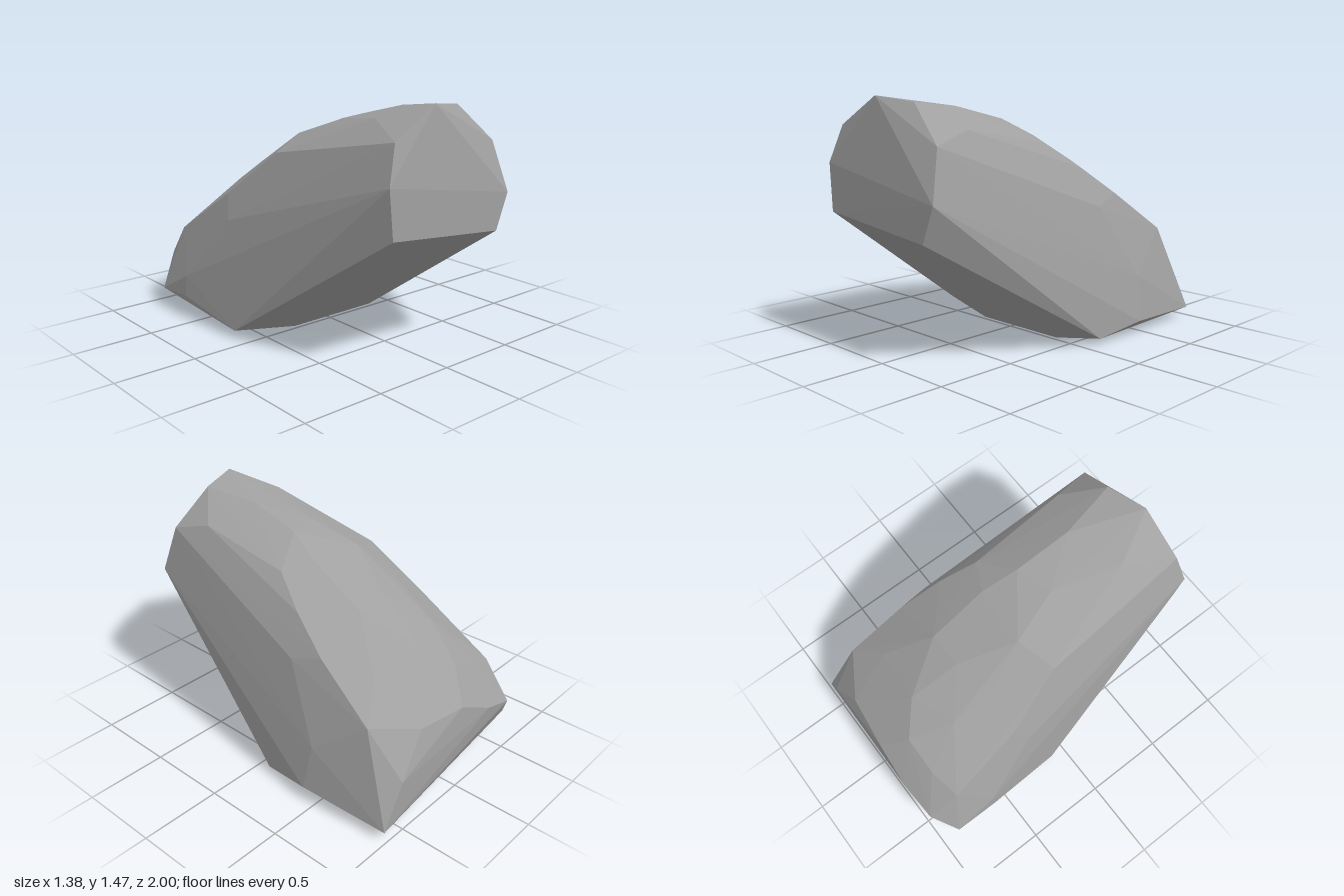
import * as THREE from 'three';
import { ConvexGeometry } from 'three/addons/geometries/ConvexGeometry.js';

// Corner points of the boulder, one region per row: [x, y, z]
const frontFace = [
  [-0.43, 0.8, 1], [0.37, 0.72, 1], [0.455, 0.93, 1], [-0.455, 1.08, 0.995],
  [-0.38, 1.295, 0.95], [-0.085, 1.465, 0.94], [0.16, 1.435, 0.87], [0.4, 1.22, 0.92],
];
const base = [
  [-0.26, 0, -0.03], [0.36, 0, -0.03], [0.645, 0.04, -0.1], [-0.66, 0.05, -0.1],
  [0.69, 0.09, -0.42], [0.645, 0.06, -0.985], [-0.685, 0.12, -0.88], [-0.69, 0.14, -0.6],
];
const backFace = [
  [-0.54, 0.32, -0.985], [-0.3, 0.4, -1], [-0.04, 0.53, -0.98], [0.29, 0.54, -0.94], [0.5, 0.32, -0.985],
];
const ridge = [
  [0.09, 1.4, 0.52], [-0.24, 1.37, 0.65], [0.11, 1.315, 0.18], [-0.11, 1.315, 0.25],
  [0.16, 1.21, -0.03], [-0.2, 1.2, -0.05], [0.17, 1.025, -0.38], [-0.3, 1.0, -0.3],
  [-0.05, 1.03, -0.38], [-0.27, 0.85, -0.57], [0, 0.84, -0.68], [-0.16, 0.7, -0.83], [-0.38, 0.6, -0.83],
];
const leftFlank = [
  [0.35, 1.29, 0.67], [0.34, 1.18, 0.06], [0.43, 1.03, -0.15], [0.5, 0.86, -0.39],
  [0.35, 0.77, -0.65], [0.55, 0.6, -0.77], [0.54, 0.8, -0.2], [0.645, 0.36, -0.45],
];
const rightFlank = [
  [-0.41, 1.2, 0.45], [-0.43, 1.12, 0.03], [-0.53, 0.83, -0.33], [-0.57, 0.53, -0.79],
  [-0.585, 0.69, -0.25], [-0.68, 0.27, -0.6],
];

export function createModel() {
  const group = new THREE.Group();
  group.name = 'boulder';
  const stone = new THREE.MeshStandardMaterial({ color: 0xa0a0a0 });
  stone.name = 'grey stone';

  // The hull of the corners gives flat, faceted sides
  const points = [frontFace, base, backFace, ridge, leftFlank, rightFlank]
    .flat().map((p) => new THREE.Vector3(...p));
  const rock = new THREE.Mesh(new ConvexGeometry(points), stone);
  rock.name = 'rock';
  group.add(rock);
  return group;
}
